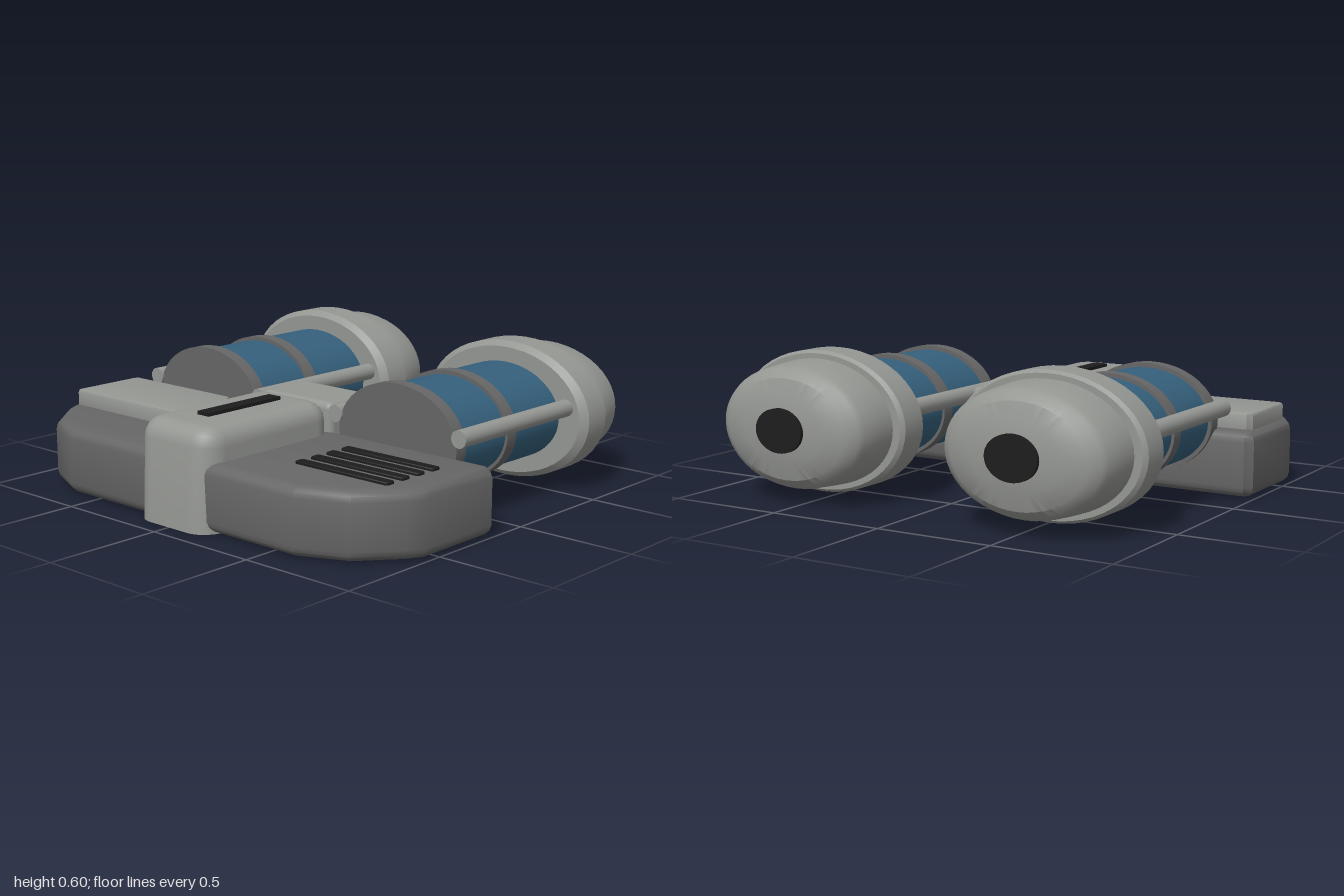
import * as THREE from 'three';
import { toCreasedNormals } from 'three/addons/utils/BufferGeometryUtils.js';
import { RoundedBoxGeometry } from 'three/addons/geometries/RoundedBoxGeometry.js';

const material = (name, color) => {
  const m = new THREE.MeshStandardMaterial({ color });
  m.name = name;
  return m;
};

export function createModel() {
  const model = new THREE.Group();
  model.name = 'twinTankPack';
  const dark = material('darkGrey', 0x666666);
  const light = material('lightGrey', 0x959793);
  const blue = material('tankBlue', 0x35607c);
  const black = material('black', 0x1d1d1d);

  const add = (parent, name, geometry, mat, x = 0, y = 0, z = 0) => {
    const mesh = new THREE.Mesh(geometry, mat);
    mesh.name = name;
    mesh.position.set(x, y, z);
    parent.add(mesh);
    return mesh;
  };

  // Plan outline of [x, z] points raised to a bevelled slab standing on y = 0
  const slab = (shape, height, bevel, segments = 3) => {
    const g = new THREE.ExtrudeGeometry(shape, {
      depth: height - 2 * bevel, bevelEnabled: true, bevelSize: bevel,
      bevelThickness: bevel, bevelOffset: -bevel, bevelSegments: segments, curveSegments: 8,
    });
    g.translate(0, 0, bevel);
    g.rotateX(-Math.PI / 2);
    return toCreasedNormals(g, 0.6);
  };
  const outline = (pts) => new THREE.Shape(pts.map(([x, z]) => new THREE.Vector2(x, -z)));
  const roundedRect = (x0, z0, x1, z1, r) => {
    const s = new THREE.Shape(), a = -z1, b = -z0, h = Math.PI / 2;
    s.absarc(x1 - r, a + r, r, -h, 0);
    s.absarc(x1 - r, b - r, r, 0, h);
    s.absarc(x0 + r, b - r, r, h, 2 * h);
    s.absarc(x0 + r, a + r, r, 2 * h, 3 * h);
    s.closePath();
    return s;
  };

  // Oval turned part running backwards: profile of [radius, z], flattened in y
  const oval = (profile, ratio) => {
    const g = new THREE.LatheGeometry(profile.map(([r, z]) => new THREE.Vector2(r, -z)), 48);
    g.rotateX(-Math.PI / 2);
    g.scale(1, ratio, 1);
    return toCreasedNormals(g, 0.5);
  };
  const disc = (r, front, back, ratio) =>
    oval([[0, front], [r, front], [r, back], [0, back]], ratio);

  // Wide base with cut front corners
  const half = [[0.63, 0.89], [0.83, 0.8], [0.96, 0.645], [1, 0.57], [1, 0.19], [0.97, 0.16]];
  const base = outline([...half, ...half.map(([x, z]) => [-x, z]).reverse()]);
  add(model, 'base', slab(base, 0.272, 0.045), dark, 0, 0.006, 0);

  // Centre hump, its front leaning forward at the foot
  const hump = slab(roundedRect(-0.205, 0.2, 0.205, 0.905, 0.1), 0.49, 0.075, 5);
  const p = hump.attributes.position;
  for (let i = 0; i < p.count; i++) {
    const y = Math.max(p.getY(i) - 0.08, 0); // squared-off foot
    const lean = 0.02 * (1 - y / 0.41) * Math.max(0, (p.getZ(i) - 0.55) / 0.35);
    p.setY(i, y);
    p.setZ(i, p.getZ(i) + lean);
  }
  add(model, 'centreHump', toCreasedNormals(hump, 0.6), light);
  add(model, 'humpSlot', new THREE.BoxGeometry(0.064, 0.02, 0.4), black, -0.003, 0.414, 0.53);

  // Block joining the hump to the tanks
  add(model, 'rearBlock', new RoundedBoxGeometry(0.395, 0.25, 0.27, 3, 0.03), light, 0, 0.275, 0.08);

  // Raised cover plate
  const cover = outline([[-0.955, 0.575], [-0.35, 0.575], [-0.33, 0.55], [-0.33, 0.3],
    [-0.375, 0.225], [-0.95, 0.225], [-0.968, 0.25], [-0.968, 0.56]]);
  add(model, 'coverPlate', slab(cover, 0.095, 0.012, 2), light, 0, 0.25, 0);

  // Vent strips
  for (let i = 0; i < 4; i++) {
    add(model, 'ventStrip', slab(roundedRect(0.415, -0.023, 0.875, 0.023, 0.01), 0.016, 0.003, 1),
      black, 0, 0.273, 0.37 + i * 0.087);
  }

  // Twin tanks
  for (const side of [-1, 1]) {
    const tank = new THREE.Group();
    tank.name = side > 0 ? 'leftTank' : 'rightTank';
    tank.position.set(side * 0.535, 0.308, 0);
    model.add(tank);

    add(tank, 'tankBody', disc(0.284, 0.17, -0.55, 0.723), blue);
    add(tank, 'frontCollar', disc(0.3, 0.2, 0.142, 0.743), dark);
    add(tank, 'middleBand', disc(0.296, -0.132, -0.19, 0.75), dark);
    add(tank, 'capRing', oval([[0, -0.5], [0.385, -0.5], [0.417, -0.525], [0.417, -0.645],
      [0.4, -0.66], [0, -0.66]], 0.697), light);
    add(tank, 'capDome', oval([[0.367, -0.65], [0.362, -0.72], [0.35, -0.82], [0.335, -0.845],
      [0.29, -0.877], [0.19, -0.897], [0.1, -0.907], [0, -0.908]], 0.705), light);
    add(tank, 'capPlug', disc(0.113, -0.89, -0.92, 0.79), black);

    for (const s of [-1, 1]) {
      const rod = new THREE.CylinderGeometry(0.036, 0.036, 0.73, 20);
      rod.rotateX(Math.PI / 2);
      add(tank, 'sideRod', rod, light, s * 0.316, 0.054, -0.155);
    }
  }
  return model;
}
